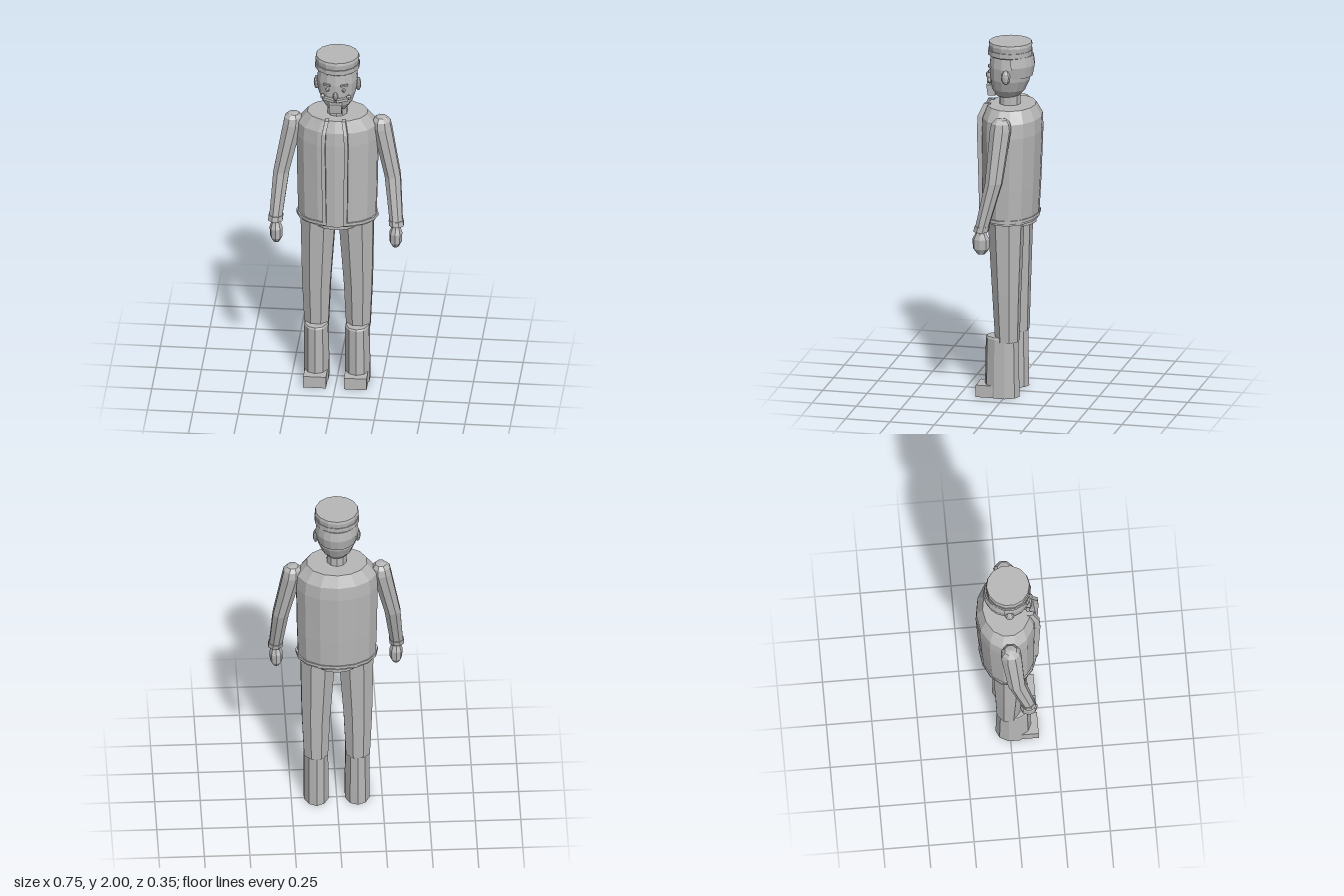
import * as THREE from 'three';

const grey = new THREE.MeshStandardMaterial({ color: 0xb8b8b8, flatShading: true });
grey.name = 'plain grey';

// Closed body through horizontal ellipses [y, cx, cz, rx, rz], bottom to top
function loft(rings, sides, phase = 0) {
  const pos = [], idx = [];
  rings.forEach(([y, cx, cz, rx, rz]) => {
    for (let j = 0; j < sides; j++) {
      const a = phase + (j / sides) * Math.PI * 2;
      pos.push(cx + rx * Math.sin(a), y, cz + rz * Math.cos(a));
    }
  });
  const last = (rings.length - 1) * sides, n = rings.length * sides;
  for (const r of [rings[0], rings[rings.length - 1]]) pos.push(r[1], r[0], r[2]);
  for (let j = 0; j < sides; j++) {
    const k = (j + 1) % sides;
    for (let i = 0; i < last; i += sides) {
      idx.push(i + j, i + k, i + sides + j, i + k, i + sides + k, i + sides + j);
    }
    idx.push(n, k, j, n + 1, last + j, last + k);
  }
  const g = new THREE.BufferGeometry();
  g.setAttribute('position', new THREE.Float32BufferAttribute(pos, 3));
  g.setIndex(idx);
  g.computeVertexNormals();
  return g;
}

export function createModel() {
  const model = new THREE.Group();
  model.name = 'standingMan';

  const add = (name, geometry, x = 0, y = 0, z = 0) => {
    const m = new THREE.Mesh(geometry, grey);
    m.name = name;
    m.position.set(x, y, z);
    model.add(m);
    return m;
  };
  const box = (name, w, h, d, x, y, z) => add(name, new THREE.BoxGeometry(w, h, d), x, y, z);
  const ball = (name, rx, ry, rz, x, y, z, w = 8, h = 6) =>
    add(name, new THREE.SphereGeometry(1, w, h).scale(rx, ry, rz), x, y, z);
  // Partial closed band around the y axis
  const band = (name, points, sides, start, length) =>
    add(name, new THREE.LatheGeometry(points.map((p) => new THREE.Vector2(...p)), sides, start, length));

  // Jacket body and hips
  add('jacket', loft([
    [1.0, 0, -0.003, 0.218, 0.152],
    [1.2, 0, -0.008, 0.224, 0.158],
    [1.5, 0, -0.012, 0.229, 0.166],
    [1.58, 0, -0.012, 0.222, 0.162],
    [1.645, 0, -0.008, 0.168, 0.132],
  ], 14));
  add('hips', loft([[0.975, 0, -0.005, 0.14, 0.14], [1.01, 0, -0.005, 0.14, 0.14]], 14));

  // Raised hem, open between the front edges
  const hem = band('jacketHem', [[1.0, 1.012], [1.05, 1.012], [1.05, 1.03], [1.0, 1.03]],
    14, 0.3, Math.PI * 2 - 0.6);
  hem.scale.set(0.216, 1, 0.154);

  // Neck and head
  add('neck', loft([[1.63, 0, 0.004, 0.057, 0.06], [1.72, 0, 0.004, 0.055, 0.058]], 10));
  add('head', loft([
    [1.69, 0, 0.015, 0.056, 0.062],
    [1.73, 0, 0.01, 0.085, 0.092],
    [1.79, 0, 0.003, 0.106, 0.112],
    [1.86, 0, 0, 0.114, 0.118],
    [1.935, 0, 0, 0.104, 0.11],
  ], 14));
  const hair = band('hair', [[0.095, 1.81], [0.118, 1.812], [0.13, 1.875], [0.122, 1.93], [0.095, 1.93]],
    8, Math.PI * 0.57, Math.PI * 0.86);
  hair.scale.set(0.94, 1, 1.05);

  // Cap
  add('capBand', loft([
    [1.925, 0, 0.002, 0.117, 0.117],
    [1.93, 0, 0.002, 0.124, 0.124],
    [1.957, 0, 0.002, 0.124, 0.124],
  ], 14));
  add('capCrown', loft([
    [1.95, 0, 0, 0.118, 0.118],
    [1.985, 0, 0, 0.122, 0.122],
    [2.0, 0, 0, 0.118, 0.118],
  ], 14));

  // Face centre
  ball('nose', 0.015, 0.024, 0.022, 0, 1.798, 0.118);
  box('mouth', 0.05, 0.01, 0.012, 0, 1.758, 0.106);
  add('goatee', loft([[1.69, 0, 0.1, 0.048, 0.03], [1.75, 0, 0.105, 0.05, 0.034]], 4, Math.PI / 4));

  for (const s of [1, -1]) {
    const side = s > 0 ? 'left' : 'right';

    // Face details
    ball(side + 'Ear', 0.016, 0.04, 0.026, s * 0.115, 1.822, 0.0);
    ball(side + 'Eye', 0.011, 0.011, 0.01, s * 0.045, 1.832, 0.108);
    const brow = box(side + 'Eyebrow', 0.04, 0.01, 0.012, s * 0.048, 1.862, 0.108);
    brow.rotation.y = s * 0.4;
    const tache = box(side + 'Moustache', 0.065, 0.016, 0.022, s * 0.034, 1.774, 0.113);
    tache.rotation.set(0, s * 0.3, s * 0.1);
    ball(side + 'MoustacheCurl', 0.013, 0.015, 0.013, s * 0.072, 1.788, 0.104);

    // Raised jacket front edge
    add(side + 'JacketEdge', loft([
      [1.015, s * 0.057, 0.142, 0.015, 0.026],
      [1.2, s * 0.06, 0.146, 0.015, 0.026],
      [1.5, s * 0.063, 0.15, 0.015, 0.032],
      [1.58, s * 0.06, 0.146, 0.015, 0.032],
      [1.65, s * 0.046, 0.118, 0.015, 0.026],
    ], 4, Math.PI / 4));

    // Sleeve, cuff and hand
    add(side + 'Sleeve', loft([
      [1.01, s * 0.333, 0.084, 0.038, 0.038],
      [1.275, s * 0.307, 0.02, 0.047, 0.05],
      [1.56, s * 0.247, -0.003, 0.056, 0.06],
      [1.6, s * 0.244, -0.004, 0.05, 0.052],
      [1.62, s * 0.242, -0.005, 0.032, 0.034],
      [1.626, s * 0.242, -0.005, 0.004, 0.004],
    ], 8, Math.PI / 8));
    add(side + 'Cuff', loft([
      [1.0, s * 0.334, 0.086, 0.043, 0.043],
      [1.03, s * 0.331, 0.08, 0.043, 0.043],
    ], 8, Math.PI / 8));
    add(side + 'Hand', loft([
      [0.87, s * 0.329, 0.087, 0.018, 0.022],
      [0.9, s * 0.329, 0.087, 0.034, 0.046],
      [0.955, s * 0.33, 0.087, 0.036, 0.048],
      [0.985, s * 0.331, 0.087, 0.026, 0.032],
      [1.01, s * 0.332, 0.087, 0.022, 0.026],
    ], 8));

    // Trouser leg
    add(side + 'TrouserLeg', loft([
      [0.32, s * 0.115, -0.01, 0.071, 0.068],
      [0.59, s * 0.115, -0.006, 0.084, 0.08],
      [1.015, s * 0.104, 0, 0.104, 0.102],
    ], 8, Math.PI / 8));

    // Boot shaft and square toe
    add(side + 'Boot', loft([
      [0, s * 0.113, 0.02, 0.071, 0.098],
      [0.335, s * 0.113, 0.02, 0.069, 0.092],
      [0.345, s * 0.113, 0.02, 0.064, 0.086],
    ], 10));
    box(side + 'BootToe', 0.125, 0.068, 0.145, s * 0.112, 0.034, 0.0825);
  }
  return model;
}
